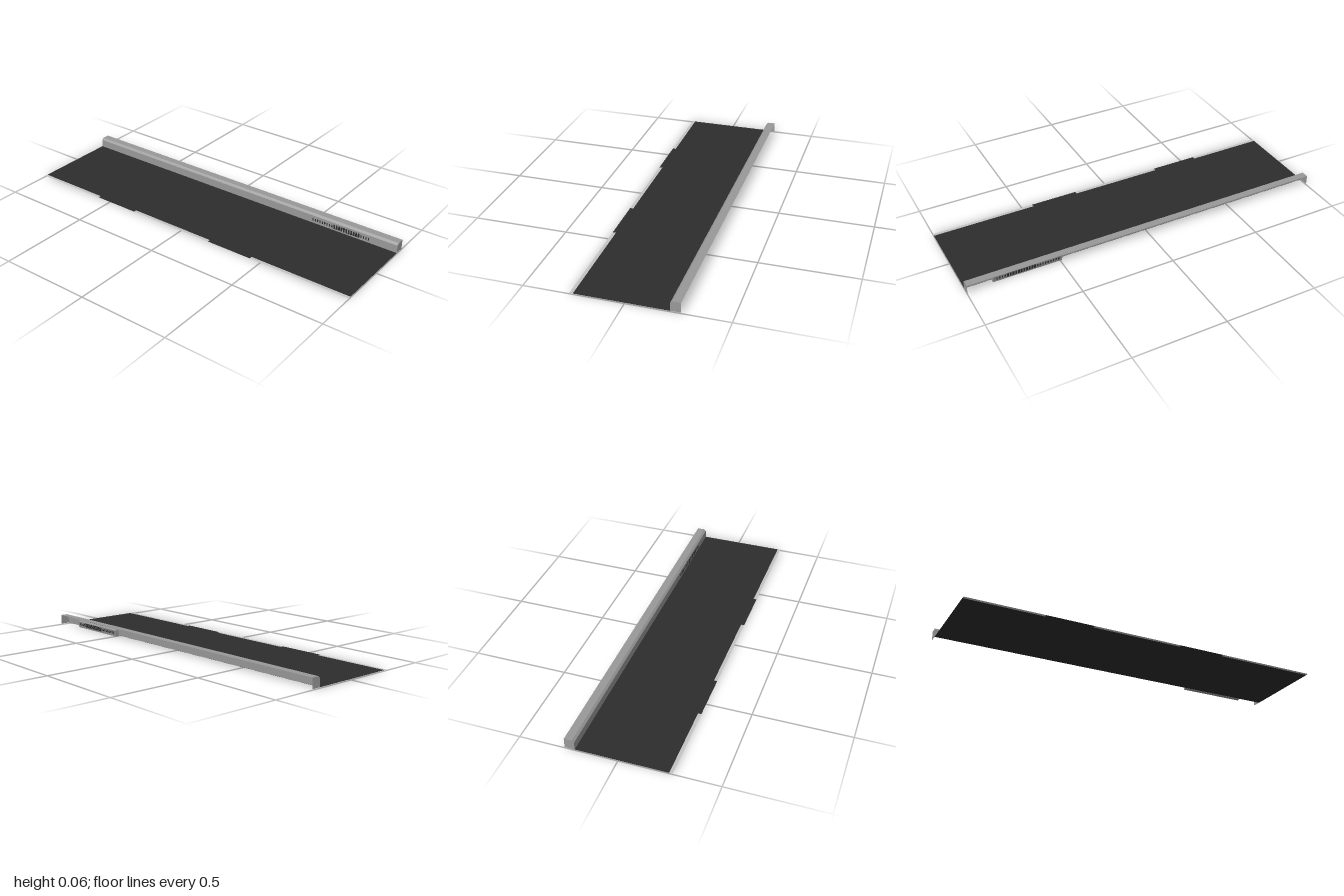
import * as THREE from 'three';

const steel = new THREE.MeshStandardMaterial({ name: 'steel grey', color: 0x999999, side: THREE.DoubleSide });
const fabric = new THREE.MeshStandardMaterial({ name: 'fabric black', color: 0x2d2d2d, side: THREE.DoubleSide });
const edging = new THREE.MeshStandardMaterial({ name: 'edging light grey', color: 0xc4c4c4, side: THREE.DoubleSide });

const BASE = 0.005;

function add(parent, name, geometry, material, x = 0, y = 0, z = 0) {
  const mesh = new THREE.Mesh(geometry, material);
  mesh.name = name;
  mesh.position.set(x, y, z);
  parent.add(mesh);
  return mesh;
}

// Flat horizontal sheet between two x and two z limits
function sheet(parent, name, material, x0, x1, z0, z1) {
  const g = new THREE.PlaneGeometry(x1 - x0, z1 - z0).rotateX(-Math.PI / 2);
  return add(parent, name, g, material, (x0 + x1) / 2, BASE, (z0 + z1) / 2);
}

export function createModel() {
  const model = new THREE.Group();
  model.name = 'rollOutSheet';

  // Fabric with a light hem broken by two dark tabs
  sheet(model, 'fabricSheet', fabric, -0.25, 0.217, -1, 1);
  const stops = [-1, -0.58, -0.32, 0.18, 0.44, 1];
  for (let i = 0; i < 5; i++) {
    const tab = i % 2 === 1;
    sheet(model, tab ? 'edgeTab' : 'edgeHem', tab ? fabric : edging, -0.267, -0.25, stops[i], stops[i + 1]);
  }

  // Housing channel: inner wall, chamfer and top, open at the outside and below
  const housing = new THREE.Group();
  housing.name = 'housing';
  model.add(housing);
  const profile = [[0.216, BASE], [0.216, 0.048], [0.227, 0.058], [0.267, 0.058]];
  const names = ['innerWall', 'chamfer', 'topPanel'];
  names.forEach((name, i) => {
    const [x0, y0] = profile[i], [x1, y1] = profile[i + 1];
    const g = new THREE.PlaneGeometry(Math.hypot(x1 - x0, y1 - y0), 2).rotateX(-Math.PI / 2);
    const panel = add(housing, name, g, steel, (x0 + x1) / 2, (y0 + y1) / 2);
    panel.rotation.z = Math.atan2(y1 - y0, x1 - x0);
  });

  // End caps
  const capShape = new THREE.Shape([...profile, [0.267, BASE]].map(([x, y]) => new THREE.Vector2(x, y)));
  for (const z of [-1, 1]) add(housing, 'endCap', new THREE.ShapeGeometry(capShape), steel, 0, 0, z);

  // Slightly tilted vent block inside the channel
  const vent = new THREE.Group();
  vent.name = 'ventBlock';
  vent.position.set(0.23, 0.0205, 0.675);
  vent.rotation.z = -0.22;
  model.add(vent);
  add(vent, 'ventBody', new THREE.BoxGeometry(0.018, 0.037, 0.37), steel);

  // Dark slots, on the block and on the inner wall behind it
  for (let i = 0; i < 24; i++) {
    const z = -0.165 + i * 0.0143;
    const dense = z > -0.04 && z < 0.12;
    const slot = new THREE.BoxGeometry(0.002, dense ? 0.024 : 0.014, dense ? 0.009 : 0.006);
    add(vent, 'ventSlot', slot, fabric, 0.0095, 0.003, z);
    add(housing, 'wallSlot', slot, fabric, 0.2155, 0.026, 0.675 + z);
  }
  return model;
}
